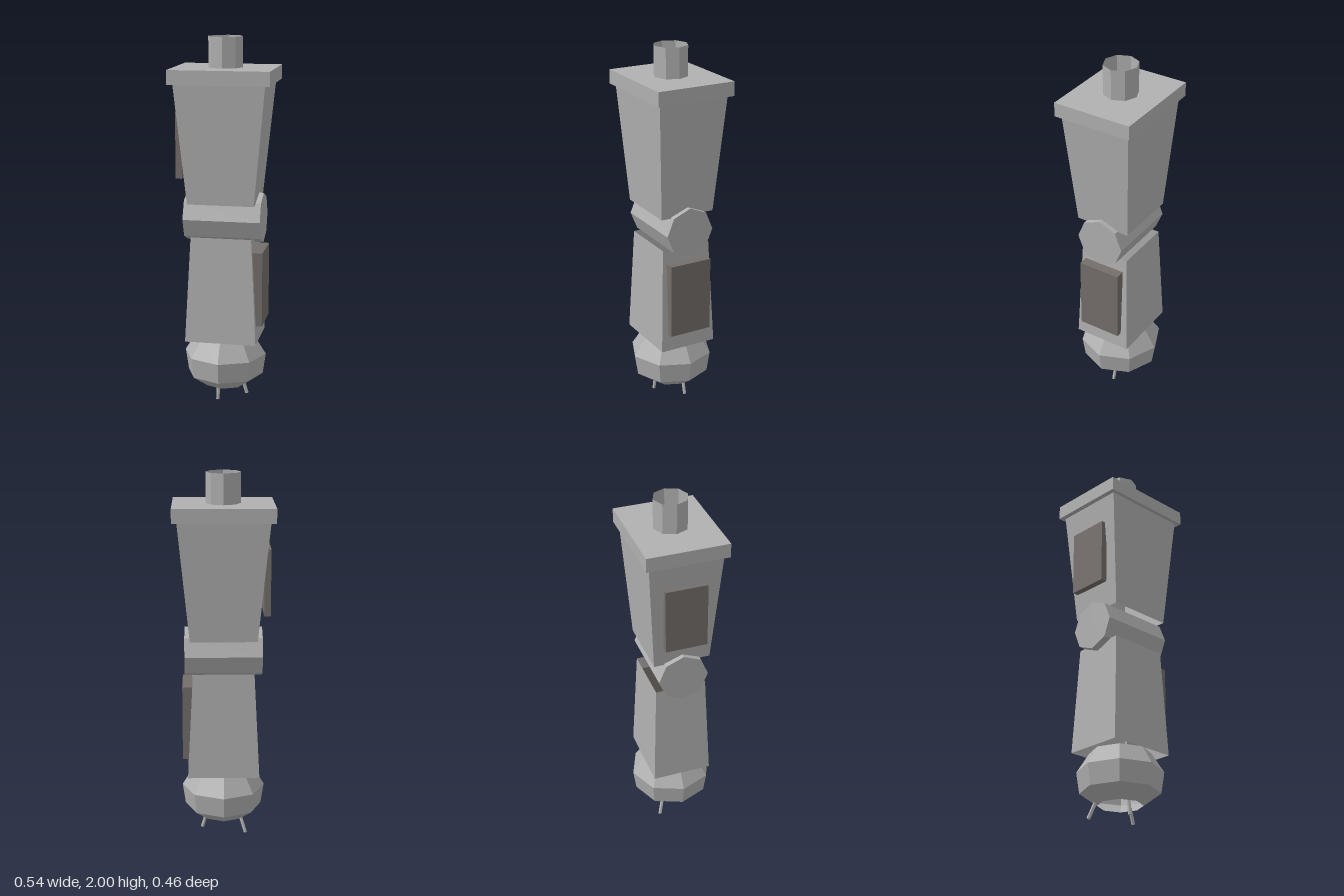
import * as THREE from 'three';

const grey = new THREE.MeshStandardMaterial({ color: 0xb0b0b0, flatShading: true, side: THREE.DoubleSide });
grey.name = 'light grey metal';
const dark = new THREE.MeshStandardMaterial({ color: 0x746e6a, flatShading: true, side: THREE.DoubleSide });
dark.name = 'dark warm grey';

// Open four-sided sleeve; [half width, half depth] at each end
function sleeve(y0, [w0, d0], y1, [w1, d1]) {
  const g = new THREE.CylinderGeometry(Math.SQRT2, Math.SQRT2, 1, 4, 1, true);
  g.rotateY(Math.PI / 4);
  const p = g.attributes.position;
  for (let i = 0; i < p.count; i++) {
    const top = p.getY(i) > 0;
    p.setXYZ(i, p.getX(i) * (top ? w1 : w0), top ? y1 : y0, p.getZ(i) * (top ? d1 : d0));
  }
  return g;
}

// Box given by its minimum and maximum corners
function box([x0, y0, z0], [x1, y1, z1]) {
  return new THREE.BoxGeometry(x1 - x0, y1 - y0, z1 - z0)
    .translate((x0 + x1) / 2, (y0 + y1) / 2, (z0 + z1) / 2);
}

// Thin rod between two points
function rod(a, b, r) {
  const from = new THREE.Vector3(...a), dir = new THREE.Vector3(...b).sub(from);
  const g = new THREE.CylinderGeometry(r, r, dir.length(), 6);
  g.applyQuaternion(new THREE.Quaternion().setFromUnitVectors(
    new THREE.Vector3(0, 1, 0), dir.clone().normalize()));
  return g.translate(...from.addScaledVector(dir, 0.5).toArray());
}

export function createModel() {
  const model = new THREE.Group();
  model.name = 'mechanicalLeg';
  const add = (name, geometry, material = grey) => {
    const mesh = new THREE.Mesh(geometry, material);
    mesh.name = name;
    model.add(mesh);
  };

  // Hip: open octagonal tube on a flat plate
  add('hipTube', new THREE.CylinderGeometry(0.093, 0.093, 0.165, 8, 1, true).translate(0, 1.9175, 0));
  add('hipPlate', box([-0.27, 1.76, -0.22], [0.27, 1.837, 0.22]));

  // Leg sleeves and knee joint
  add('upperLeg', sleeve(1.12, [0.18, 0.155], 1.76, [0.243, 0.198]));
  add('knee', new THREE.CylinderGeometry(0.137, 0.137, 0.42, 8).rotateZ(Math.PI / 2).translate(0, 1.03, 0));
  add('lowerLeg', sleeve(0.353, [0.195, 0.163], 0.937, [0.165, 0.14]));

  // Side panels
  add('upperPanel', box([-0.25, 1.25, -0.114], [-0.215, 1.61, 0.114]), dark);
  add('lowerPanel', box([0.167, 0.45, -0.12], [0.223, 0.86, 0.12]), dark);

  // Faceted foot, open below
  const profile = [[0.12, 0.076], [0.211, 0.14], [0.228, 0.254], [0.163, 0.356]];
  add('foot', new THREE.LatheGeometry(profile.map(([r, y]) => new THREE.Vector2(r, y)), 8));

  // Three claws splayed outwards
  const claws = [
    [[-0.095, -0.084], [-0.122, -0.108]],
    [[-0.025, 0.084], [-0.025, 0.097]],
    [[0.093, -0.025], [0.118, -0.025]],
  ];
  claws.forEach(([t, b], i) =>
    add('claw' + (i + 1), rod([b[0], 0.005, b[1]], [t[0], 0.09, t[1]], 0.01)));

  return model;
}
